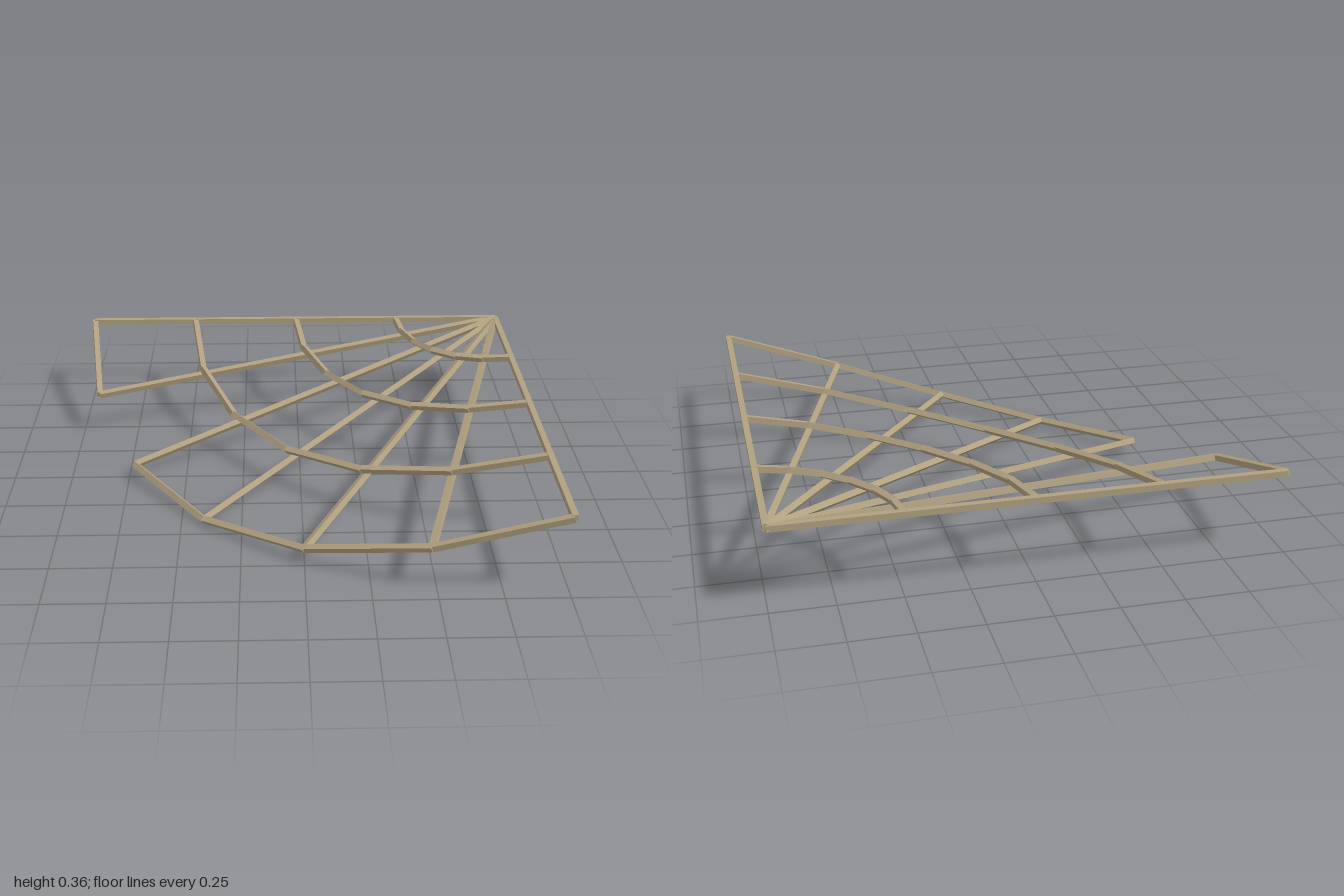
import * as THREE from 'three';

export function createModel() {
  const group = new THREE.Group();
  const strand = new THREE.MeshStandardMaterial({ color: 0xb0a080, flatShading: true });
  strand.name = 'strandBeige';

  const WIDTH = 0.025;       // square strand thickness
  const LENGTH = 1.974;      // horizontal reach of each spoke
  const SAG = 0.322;         // drop at the outer middle
  const SPOKES = 7;
  const apex = new THREE.Vector3(0.987, 0.339, -0.987);
  const up = new THREE.Vector3(0, 1, 0);

  // Point on spoke k at fraction t, with the given share of the sag
  const point = (k, t, sag) => {
    const a = (k / (SPOKES - 1)) * Math.PI / 2;
    return new THREE.Vector3(
      apex.x - Math.cos(a) * LENGTH * t,
      apex.y - Math.sin(2 * a) * SAG * sag,
      apex.z + Math.sin(a) * LENGTH * t
    );
  };

  // Square bar between two points
  const bar = (name, a, b) => {
    const dir = b.clone().sub(a);
    const mesh = new THREE.Mesh(new THREE.BoxGeometry(WIDTH, dir.length(), WIDTH), strand);
    mesh.position.copy(a).add(b).multiplyScalar(0.5);
    mesh.quaternion.setFromUnitVectors(up, dir.normalize());
    mesh.name = name;
    group.add(mesh);
  };

  // Straight spokes fanning out of the corner
  for (let k = 0; k < SPOKES; k++) bar(`spoke${k + 1}`, apex, point(k, 1, 1));

  // Cross strands; inner rings sag less and float just above the spokes
  for (let ring = 1; ring <= 4; ring++) {
    const t = ring / 4;
    for (let k = 0; k < SPOKES - 1; k++) {
      if (ring === 4 && k === 1) continue; // broken outer strand
      bar(`ring${ring}Strand${k + 1}`, point(k, t, t * t), point(k + 1, t, t * t));
    }
  }
  return group;
}
